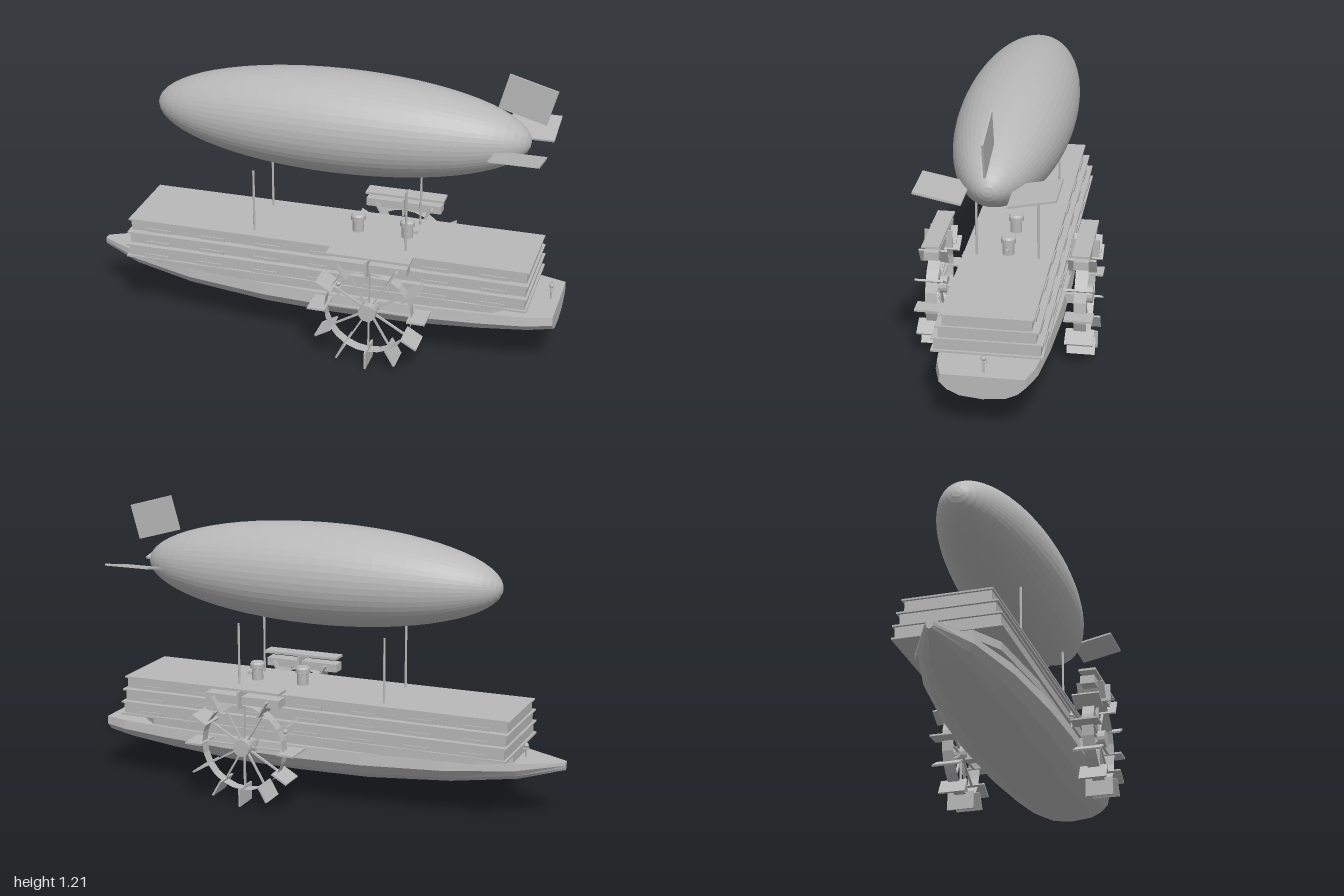
import * as THREE from 'three';

const grey = new THREE.MeshStandardMaterial({ color: 0xb8b8b8, flatShading: true, side: THREE.DoubleSide });

function add(parent, name, geometry, x = 0, y = 0, z = 0) {
  const mesh = new THREE.Mesh(geometry, grey);
  mesh.name = name;
  mesh.position.set(x, y, z);
  parent.add(mesh);
  return mesh;
}
const box = (w, h, d) => new THREE.BoxGeometry(w, h, d);
const rod = (r, h, n = 8) => new THREE.CylinderGeometry(r, r, h, n);

// Hull lofted through stations of [x, half width, keel height]
function hullGeometry() {
  const deck = 0.25;
  const stations = [
    [-1, 0.015, 0.215], [-0.82, 0.11, 0.165], [-0.55, 0.18, 0.128], [-0.2, 0.22, 0.102],
    [0.1, 0.232, 0.097], [0.4, 0.23, 0.1], [0.7, 0.215, 0.122], [0.9, 0.195, 0.142], [1, 0.165, 0.155],
  ];
  const half = [[0.97, 1], [1, 0.66], [0.81, 0.33], [0.53, 0.1]];
  const ring = [...half, [0, 0], ...half.slice().reverse().map(([z, y]) => [-z, y])];
  const n = ring.length, pos = [], idx = [];
  for (const [x, w, keel] of stations)
    for (const [z, y] of ring) pos.push(x, keel + (deck - keel) * y, z * w);
  for (let s = 0; s < stations.length - 1; s++)
    for (let i = 0; i < n; i++) {
      const a = s * n + i, b = s * n + (i + 1) % n;
      idx.push(a, b, a + n, b, b + n, a + n);
    }
  // bow and transom caps
  const last = (stations.length - 1) * n;
  for (let i = 1; i < n - 1; i++) idx.push(0, i + 1, i, last, last + i, last + i + 1);
  const g = new THREE.BufferGeometry();
  g.setAttribute('position', new THREE.Float32BufferAttribute(pos, 3));
  g.setIndex(idx);
  g.computeVertexNormals();
  return g;
}

// Low deckhouse with chamfered corners in plan
function deckhouseGeometry() {
  const s = new THREE.Shape([
    [-0.81, -0.1], [-0.68, -0.17], [-0.3, -0.205], [0.5, -0.205], [0.76, -0.19], [0.83, -0.125],
    [0.83, 0.125], [0.76, 0.19], [0.5, 0.205], [-0.3, 0.205], [-0.68, 0.17], [-0.81, 0.1],
  ].map(([x, z]) => new THREE.Vector2(x, z)));
  const g = new THREE.ExtrudeGeometry(s, { depth: 0.035, bevelEnabled: false });
  return g.rotateX(-Math.PI / 2);
}

function paddleWheel(side) {
  const wheel = new THREE.Group();
  wheel.name = side > 0 ? 'frontPaddleWheel' : 'backPaddleWheel';
  wheel.position.set(0.275, 0.245, side * 0.3);
  add(wheel, 'hub', rod(0.036, 0.07, 16)).rotation.x = Math.PI / 2;
  add(wheel, 'axle', box(0.05, 0.04, 0.08), 0, -0.015, -side * 0.065);
  const rim = add(wheel, 'rim', new THREE.CylinderGeometry(0.182, 0.182, 0.05, 24, 1, true));
  rim.rotation.x = Math.PI / 2;
  for (let i = 0; i < 12; i++) {
    const arm = new THREE.Group();
    arm.name = 'paddleArm';
    arm.rotation.z = i * Math.PI / 6;
    add(arm, 'spoke', box(0.16, 0.007, 0.01), 0.11);
    add(arm, 'paddle', box(0.075, 0.008, 0.115), 0.2075);
    wheel.add(arm);
  }
  // cover above the wheel
  add(wheel, 'coverBox', box(0.33, 0.035, 0.06), -0.005, 0.203, 0);
  add(wheel, 'coverPlate', box(0.345, 0.01, 0.072), 0, 0.247, 0);
  return wheel;
}

function lamp(x, y, z, h) {
  const g = new THREE.Group();
  g.name = 'lamp';
  g.position.set(x, y, z);
  add(g, 'lampStem', rod(0.004, h), 0, h / 2, 0);
  add(g, 'lampHead', new THREE.SphereGeometry(0.011, 8, 6), 0, h * 0.75, 0);
  add(g, 'lampBar', box(0.022, 0.004, 0.022), 0, h * 0.55, 0);
  return g;
}

export function createModel() {
  const model = new THREE.Group();
  model.name = 'airshipPaddleSteamer';

  add(model, 'hull', hullGeometry());
  add(model, 'lowerDeckhouse', deckhouseGeometry(), 0, 0.25, 0);

  // Three stepped storeys, each a wall under an overhanging slab
  add(model, 'mainDeck', box(1.715, 0.008, 0.43), 0.0425, 0.288, 0);
  [[0.292, 0.205, 0.213], [0.343, 0.187, 0.198], [0.394, 0.17, 0.178]].forEach(([y, wall, slab]) => {
    add(model, 'storeyWall', box(1.695, 0.044, wall * 2), 0.0425, y + 0.022, 0);
    add(model, 'storeySlab', box(1.715, 0.007, slab * 2), 0.0425, y + 0.0475, 0);
    for (const s of [-1, 1])
      for (let i = 0; i < 7; i++)
        add(model, 'sidePanel', box(0.11, 0.014, 0.006), -0.68 + i * 0.24, y + 0.008, s * (wall + 0.003));
  });

  // Mooring lamps at bow, stern and sides
  model.add(lamp(-0.835, 0.25, 0, 0.065), lamp(0.965, 0.25, 0, 0.08));
  for (const s of [-1, 1]) model.add(lamp(0.125, 0.25, s * 0.224, 0.072));

  // Funnels
  const profile = [[0, 0], [0.024, 0], [0.024, 0.05], [0.031, 0.053], [0.031, 0.072], [0.025, 0.08], [0, 0.08]]
    .map(([r, y]) => new THREE.Vector2(r, y));
  for (const x of [0.145, 0.355]) add(model, 'funnel', new THREE.LatheGeometry(profile, 16), x, 0.443, 0);
  add(model, 'steamPipe', box(0.02, 0.012, 0.012), 0.389, 0.47, 0);

  // Struts under the balloon
  for (const x of [-0.27, 0.38])
    for (const s of [-1, 1]) add(model, 'strut', rod(0.005, 0.272), x, 0.58, s * 0.125);

  // Balloon with its poles along x
  const balloon = new THREE.SphereGeometry(1, 48, 32).rotateZ(Math.PI / 2).scale(0.785, 0.21, 0.23);
  add(model, 'balloon', balloon, 0.065, 0.93, 0);

  // Tail fins
  add(model, 'verticalFin', box(0.202, 0.15, 0.008), 0.828, 1.11, 0).rotation.z = -0.27;
  for (const s of [-1, 1])
    add(model, 'sideFin', box(0.2, 0.008, 0.183), 0.827, 0.928, s * 0.173).rotation.x = -s * 0.2;

  for (const s of [-1, 1]) model.add(paddleWheel(s));
  return model;
}
